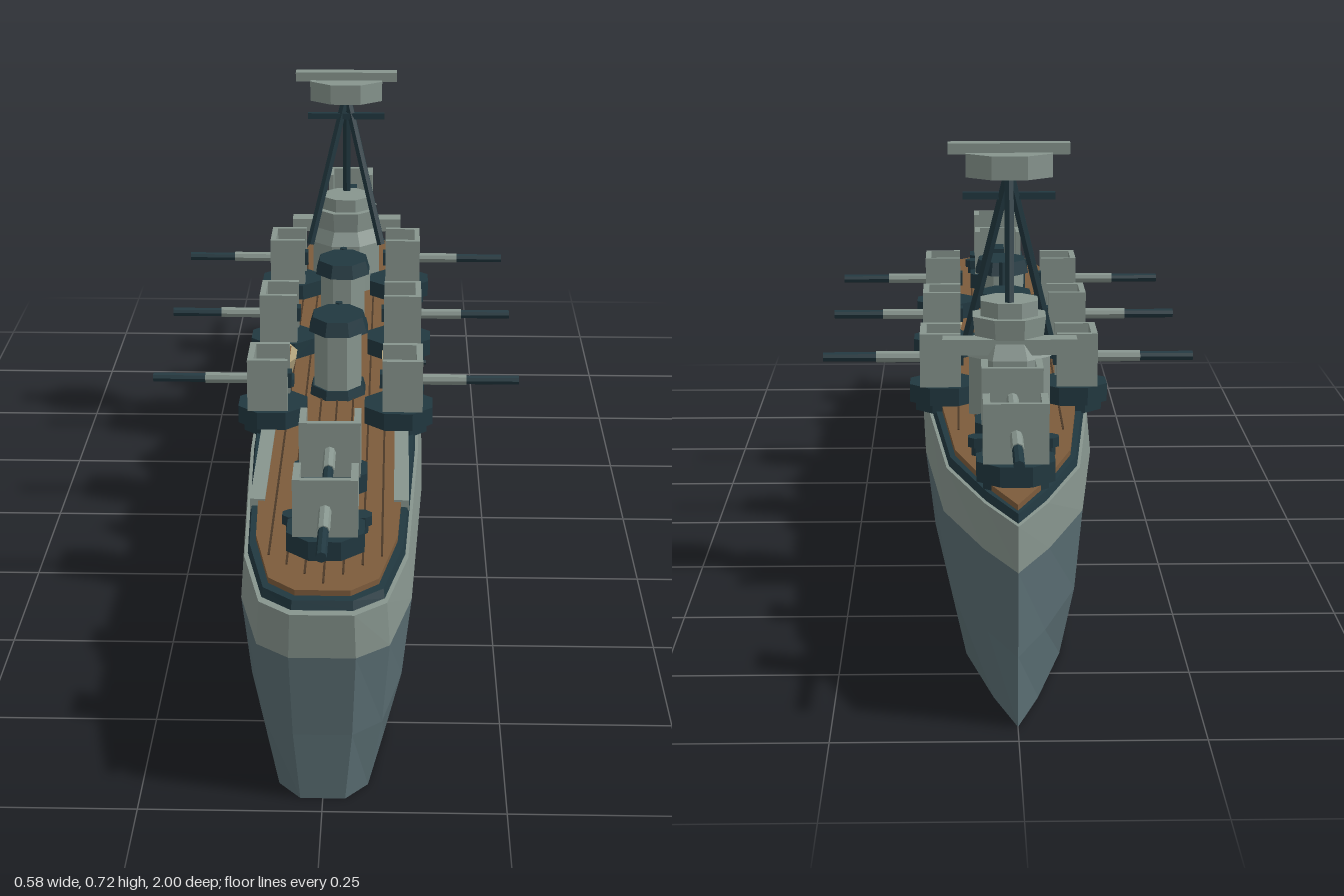
import * as THREE from 'three';

const mat = (name, color) => new THREE.MeshStandardMaterial({ name, color });

export function createModel() {
  const grey = mat('light grey paint', 0x87958e);
  const lower = mat('lower hull blue grey', 0x5a6e73);
  const dark = mat('dark steel', 0x213840);
  const wood = mat('deck wood', 0x7d5c3c);
  const seam = mat('deck seam', 0x4a3827);
  const tan = mat('boat tan', 0xb5a67f);

  const ship = new THREE.Group();
  ship.name = 'warship';

  // Helpers: every part is faceted
  const add = (parent, name, geo, m, x = 0, y = 0, z = 0) => {
    const g = geo.index ? geo.toNonIndexed() : geo;
    g.computeVertexNormals();
    const mesh = new THREE.Mesh(g, m);
    mesh.name = name;
    mesh.position.set(x, y, z);
    parent.add(mesh);
    return mesh;
  };
  const box = (p, name, m, w, h, d, x, y, z) => add(p, name, new THREE.BoxGeometry(w, h, d), m, x, y, z);
  // Eight-sided drum between two heights, flat sides facing the axes
  const drum = (p, name, m, rTop, rBot, y0, y1, x = 0, z = 0, sx = 1, sz = 1) => {
    const k = 1 / Math.cos(Math.PI / 8);
    const g = new THREE.CylinderGeometry(rTop * k, rBot * k, y1 - y0, 8);
    g.rotateY(Math.PI / 8);
    g.scale(sx, 1, sz);
    return add(p, name, g, m, x, (y0 + y1) / 2, z);
  };
  const rod = (p, name, m, a, b, r, sides = 6) => {
    const va = new THREE.Vector3(...a), vb = new THREE.Vector3(...b);
    const mesh = add(p, name, new THREE.CylinderGeometry(r, r, va.distanceTo(vb), sides), m);
    mesh.position.copy(va).add(vb).multiplyScalar(0.5);
    mesh.quaternion.setFromUnitVectors(new THREE.Vector3(0, 1, 0), vb.sub(va).normalize());
    return mesh;
  };

  // Hull outline, bow at -z, then mirrored to close the ring
  const half = [[0, -0.97], [0.045, -0.86], [0.1, -0.68], [0.13, -0.35], [0.14, 0],
    [0.137, 0.4], [0.12, 0.8], [0.09, 0.945], [0.045, 0.985]];
  const ring = [...half, ...half.slice(1).reverse().map(([x, z]) => [-x, z])];

  // Loft through levels of [y, x scale, z scale], with optional caps
  const loft = (name, m, levels, bottom, top) => {
    const pos = [];
    const pt = ([y, sx, sz], i) => {
      const [x, z] = ring[i % ring.length];
      return [x * sx, y, z * sz];
    };
    const last = levels[levels.length - 1];
    for (let i = 0; i < ring.length; i++) {
      for (let l = 0; l + 1 < levels.length; l++) {
        const a = pt(levels[l], i), b = pt(levels[l], i + 1);
        const c = pt(levels[l + 1], i + 1), d = pt(levels[l + 1], i);
        pos.push(...a, ...c, ...b, ...a, ...d, ...c);
      }
      if (bottom) pos.push(0, levels[0][0], 0, ...pt(levels[0], i), ...pt(levels[0], i + 1));
      if (top) pos.push(0, last[0], 0, ...pt(last, i + 1), ...pt(last, i));
    }
    const g = new THREE.BufferGeometry();
    g.setAttribute('position', new THREE.Float32BufferAttribute(pos, 3));
    return add(ship, name, g, m);
  };
  loft('lowerHull', lower, [[0, 0.68, 0.98], [0.1, 0.89, 0.985], [0.22, 1, 0.995]], true, false);
  loft('upperHull', grey, [[0.22, 1, 0.995], [0.285, 0.955, 1]], false, true);
  loft('waterway', dark, [[0.285, 0.92, 0.985], [0.297, 0.9, 0.98]], false, true);
  loft('deck', wood, [[0.297, 0.83, 0.965], [0.305, 0.83, 0.965]], false, true);

  // Deck plank seams
  for (let i = -3; i <= 3; i++) {
    const x = i * 0.026, z0 = -0.84 + Math.abs(i) * 0.1, z1 = 0.93 - Math.abs(i) * 0.03;
    box(ship, 'deckSeam', seam, 0.003, 0.003, z1 - z0, x, 0.305, (z0 + z1) / 2);
  }
  // Grey edge plates
  for (const s of [-1, 1]) {
    box(ship, 'edgePlate', grey, 0.022, 0.016, 0.34, s * 0.107, 0.3, -0.1);
    box(ship, 'edgePlate', grey, 0.022, 0.016, 0.32, s * 0.105, 0.3, 0.49);
  }

  // Gun mount facing +z: base, three-sided open shield, breech and barrel
  const gun = (x, z, turn) => {
    const g = new THREE.Group();
    g.name = 'gunMount';
    drum(g, 'gunBase', dark, 0.054, 0.054, 0.308, 0.336);
    drum(g, 'gunFoot', dark, 0.045, 0.045, 0.294, 0.308);
    box(g, 'pedestal', dark, 0.04, 0.03, 0.04, 0, 0.35, 0);
    box(g, 'breech', dark, 0.024, 0.024, 0.06, 0, 0.375, 0);
    box(g, 'shieldFront', grey, 0.09, 0.084, 0.01, 0, 0.378, 0.033);
    for (const s of [-1, 1]) box(g, 'shieldSide', grey, 0.01, 0.084, 0.055, s * 0.04, 0.378, 0.002);
    rod(g, 'barrelSleeve', grey, [0, 0.375, 0.03], [0, 0.375, 0.107], 0.009, 8);
    rod(g, 'barrel', dark, [0, 0.375, 0.1], [0, 0.375, 0.19], 0.0075, 8);
    g.position.set(x, 0, z);
    g.rotation.y = turn;
    ship.add(g);
  };
  for (const z of [0.595, 0.81]) {
    gun(0, z, 0);
    gun(0, -z, Math.PI);
  }
  for (const z of [-0.35, -0.015, 0.318]) {
    for (const s of [-1, 1]) gun(s * 0.1, z, s * Math.PI / 2);
  }

  // Two funnels with dark caps
  for (const z of [-0.138, 0.178]) {
    const f = new THREE.Group();
    f.name = 'funnel';
    drum(f, 'funnelFoot', dark, 0.046, 0.05, 0.305, 0.32, 0, 0, 0.9, 1.1);
    drum(f, 'funnelBody', grey, 0.045, 0.045, 0.32, 0.418, 0, 0, 0.85, 1.05);
    drum(f, 'funnelCap', dark, 0.045, 0.052, 0.415, 0.438, 0, 0, 0.9, 1.12);
    rod(f, 'steamPipe', dark, [0, 0.31, -0.054], [0, 0.44, -0.054], 0.007);
    f.position.z = z;
    ship.add(f);
  }

  // Bridge
  const bridge = new THREE.Group();
  bridge.name = 'bridge';
  drum(bridge, 'bridgeBase', grey, 0.062, 0.062, 0.3, 0.395);
  drum(bridge, 'bridgeMiddle', grey, 0.052, 0.064, 0.395, 0.42);
  drum(bridge, 'bridgeUpper', grey, 0.056, 0.052, 0.42, 0.456);
  drum(bridge, 'bridgeTop', grey, 0.044, 0.044, 0.456, 0.48);
  box(bridge, 'bridgeWings', grey, 0.205, 0.024, 0.035, 0, 0.414, -0.035);
  bridge.position.z = -0.413;
  ship.add(bridge);

  // Tripod mast with yard, lookout top and rangefinder
  const mast = new THREE.Group();
  mast.name = 'mast';
  for (const s of [-1, 1]) rod(mast, 'mastLeg', dark, [s * 0.066, 0.4, -0.352], [0, 0.675, -0.4], 0.008);
  rod(mast, 'mastLeg', dark, [0, 0.42, -0.455], [0, 0.675, -0.4], 0.008);
  box(mast, 'yard', dark, 0.142, 0.011, 0.011, 0, 0.636, -0.392);
  drum(mast, 'lookoutTop', grey, 0.066, 0.066, 0.668, 0.704, 0, -0.398, 1, 0.85);
  box(mast, 'rangefinder', grey, 0.186, 0.017, 0.026, 0, 0.71, -0.398);
  ship.add(mast);

  for (const s of [-1, 1]) {
    // Ventilators fore and aft
    for (const [x, z] of [[0.05, -0.68], [0.048, 0.757]]) {
      drum(ship, 'ventilator', dark, 0.01, 0.01, 0.3, 0.318, s * x, z);
      drum(ship, 'ventilatorHead', dark, 0.015, 0.015, 0.318, 0.332, s * x, z);
    }
    // Small boat with wooden inside
    drum(ship, 'boat', tan, 0.022, 0.014, 0.305, 0.338, s * 0.094, 0.095, 1, 2.3);
    box(ship, 'boatInside', wood, 0.022, 0.004, 0.07, s * 0.094, 0.338, 0.095);
    // Light gun beside the boat
    drum(ship, 'lightGunBase', dark, 0.034, 0.034, 0.292, 0.318, s * 0.108, 0.152);
    box(ship, 'lightGunShield', grey, 0.036, 0.036, 0.036, s * 0.104, 0.336, 0.152);
    box(ship, 'lightGunBreech', dark, 0.02, 0.016, 0.026, s * 0.108, 0.358, 0.152);
    rod(ship, 'lightGunBarrel', dark, [s * 0.104, 0.345, 0.152], [s * 0.145, 0.345, 0.152], 0.004);
  }
  return ship;
}
